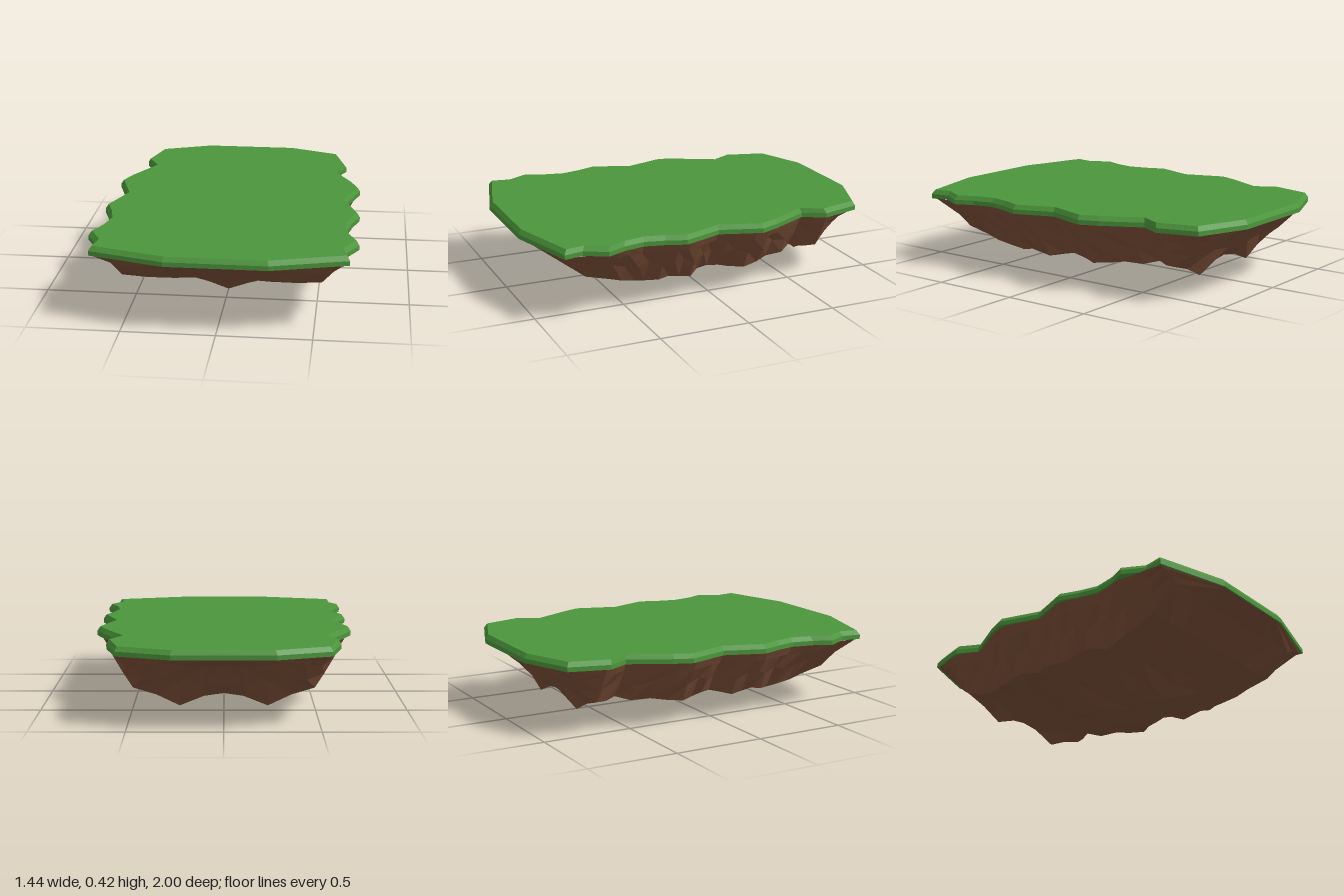
import * as THREE from 'three';

// Right half of the rim, back to front: [x, z]
const RIM = [
  [0.27, -1], [0.56, -0.89], [0.62, -0.67], [0.555, -0.55], [0.67, -0.33], [0.71, -0.23],
  [0.635, 0], [0.715, 0.22], [0.675, 0.33], [0.65, 0.44], [0.675, 0.56], [0.72, 0.66],
  [0.655, 0.78], [0.675, 0.885], [0.27, 1],
];

// Rock rows, back to front: [z, keel height on the centre line, height at the edge of the floor]
const ROWS = [
  [-1, 0.375, 0.375], [-0.89, 0.325, 0.33], [-0.78, 0.2, 0.23], [-0.69, 0.14, 0.17],
  [-0.62, 0.15, 0.16], [-0.55, 0.15, 0.17], [-0.48, 0.12, 0.15], [-0.37, 0.13, 0.15],
  [-0.29, 0.11, 0.14], [-0.2, 0.08, 0.13], [-0.12, 0.095, 0.13], [-0.06, 0.13, 0.15],
  [0, 0.125, 0.15], [0.06, 0.07, 0.14], [0.12, 0.04, 0.12], [0.19, 0.07, 0.13],
  [0.25, 0.1, 0.14], [0.31, 0.035, 0.13], [0.38, 0.005, 0.12], [0.44, 0.06, 0.13],
  [0.52, 0.12, 0.15], [0.6, 0.15, 0.17], [0.73, 0.2, 0.21], [0.885, 0.315, 0.325],
  [1, 0.375, 0.375],
];

const GRASS_BASE = 0.375;

// Half width of the rim at a given z
function rimWidth(z) {
  const i = Math.max(1, RIM.findIndex((p) => p[1] >= z));
  const [x0, z0] = RIM[i - 1], [x1, z1] = RIM[i];
  return x0 + ((x1 - x0) * (z - z0)) / (z1 - z0);
}

// Grass slab: straight lower edge with a chamfered upper edge
function grassGeometry() {
  const left = RIM.map(([x, z]) => new THREE.Vector2(-x, -z)).reverse();
  const right = RIM.map(([x, z]) => new THREE.Vector2(x, -z));
  const geo = new THREE.ExtrudeGeometry(new THREE.Shape([...right, ...left]), {
    depth: 0.05, steps: 2, bevelEnabled: false,
  });
  geo.rotateX(-Math.PI / 2);
  const p = geo.attributes.position;
  for (let i = 0; i < p.count; i++) {
    if (p.getY(i) > 0.04) p.setXYZ(i, p.getX(i) * 0.976, p.getY(i), p.getZ(i) * 0.984);
  }
  geo.translate(0, GRASS_BASE, 0);
  geo.computeVertexNormals();
  return geo;
}

// Half cross-section of the rock, from the keel out to the rim
function halfSection([z, keel, edge], row) {
  const w = rimWidth(z);
  const end = Math.abs(z) === 1;
  const wobble = (k) => (end ? 0 : Math.sin(row * 2.3 + k * 1.7));
  const floor = (t) => keel + (edge - keel) * t;
  // Twin spikes hang beneath the back end
  const spike = Math.max(0, 1 - Math.abs(z + 0.69) / 0.09) * 0.08;
  const wallFoot = w * (0.76 + 0.025 * wobble(4));
  const rise = GRASS_BASE - edge;
  return [
    [0, keel],
    [w * 0.17, floor(0.4) - spike * 0.4 + 0.007 * wobble(1)],
    [w * 0.38, floor(0.65) - spike + 0.008 * wobble(2)],
    [w * 0.58, floor(0.85) - spike * 0.35 + 0.01 * wobble(3)],
    [wallFoot, edge],
    [w * (0.86 + 0.015 * wobble(5)), edge + rise * (0.45 + 0.07 * wobble(6))],
    [w * 0.945, edge + rise * 0.8],
    [w * 0.985, GRASS_BASE + 0.002],
  ];
}

// Rock underside: mirrored cross-sections joined row to row
function rockGeometry() {
  const pos = [], index = [];
  let cols = 0;
  ROWS.forEach((r, row) => {
    const half = halfSection(r, row);
    const mirrored = half.slice(1).reverse().map(([x, y]) => [-x, y]);
    const section = [...mirrored, ...half];
    cols = section.length;
    for (const [x, y] of section) pos.push(x, y, r[0] * 0.992);
  });
  for (let r = 0; r < ROWS.length - 1; r++) {
    for (let c = 0; c < cols - 1; c++) {
      const a = r * cols + c, b = a + 1, d = a + cols, e = d + 1;
      // Diagonals mirror about the centre line
      if (c < (cols - 1) / 2) index.push(a, b, d, b, e, d);
      else index.push(a, b, e, a, e, d);
    }
  }
  const geo = new THREE.BufferGeometry();
  geo.setAttribute('position', new THREE.Float32BufferAttribute(pos, 3));
  geo.setIndex(index);
  geo.computeVertexNormals();
  return geo;
}

export function createModel() {
  const group = new THREE.Group();
  group.name = 'floatingIsland';
  const add = (name, geo, color) => {
    const mesh = new THREE.Mesh(geo, new THREE.MeshStandardMaterial({ color, flatShading: true }));
    mesh.name = name;
    group.add(mesh);
  };
  add('grassTop', grassGeometry(), 0x4c963c);
  add('rockUnderside', rockGeometry(), 0x7d5038);
  return group;
}
